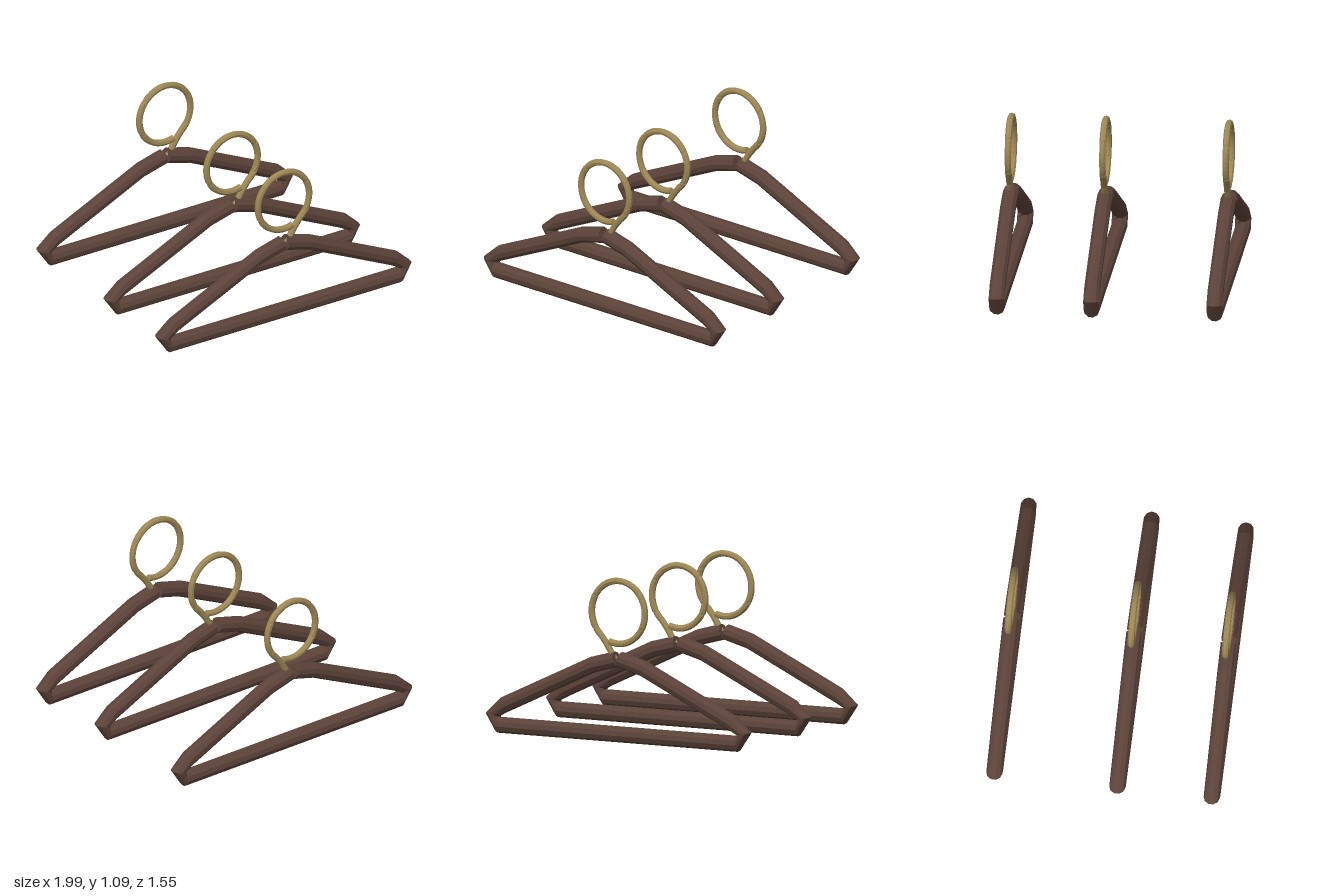
import * as THREE from 'three';

const wood = new THREE.MeshStandardMaterial({ color: 0x5c4239, flatShading: true });
wood.name = 'dark brown wood';
const brass = new THREE.MeshStandardMaterial({ color: 0x9e8755, flatShading: true });
brass.name = 'aged brass';

// Sweeps a polygon along stations [x, y, heading in degrees, twist in degrees] in the xy plane.
function sweep(stations, radius, sides) {
  const pos = [], index = [];
  const rad = THREE.MathUtils.degToRad;
  for (const [x, y, heading, twist] of stations) {
    const h = rad(heading);
    for (let j = 0; j < sides; j++) {
      const a = (j / sides) * Math.PI * 2 + rad(twist);
      const u = Math.cos(a) * radius;
      pos.push(x - Math.sin(h) * u, y + Math.cos(h) * u, Math.sin(a) * radius);
    }
  }
  const last = (stations.length - 1) * sides;
  for (let i = 0; i < last; i += sides) {
    for (let j = 0; j < sides; j++) {
      const k = (j + 1) % sides;
      index.push(i + j, i + k, i + sides + j, i + k, i + sides + k, i + sides + j);
    }
  }
  // end caps
  for (let j = 1; j < sides - 1; j++) {
    index.push(0, j + 1, j, last, last + j, last + j + 1);
  }
  const geometry = new THREE.BufferGeometry();
  geometry.setAttribute('position', new THREE.Float32BufferAttribute(pos, 3));
  geometry.setIndex(index);
  geometry.computeVertexNormals();
  return geometry;
}

// Wooden triangle: neck, left arm, pinched corner, bar, pinched corner, right arm, neck
function frameGeometry() {
  return sweep([
    [0.012, 0.553, -15, 0],
    [0.19, 0.505, -20, 0],
    [0.86, 0.19, -25, 0],
    [0.94, 0.125, -80, 30],
    [0.905, 0.055, -180, 60],
    [-0.905, 0.055, -180, 60],
    [-0.945, 0.125, -280, 90],
    [-0.86, 0.19, -335, 120],
    [-0.19, 0.505, -340, 120],
    [-0.012, 0.553, -345, 120],
  ], 0.053, 10);
}

// Wire hook: slanted stem running into a nearly full loop, with small twists in the wire
function hookGeometry() {
  const stations = [[0.025, 0.55, 58, 0], [0.085, 0.65, 55, 0]];
  const steps = 44, start = -50, end = 290;
  let twist = 0;
  for (let i = 0; i <= steps; i++) {
    const deg = start + ((end - start) * i) / steps;
    const a = THREE.MathUtils.degToRad(deg);
    if ([3, 11, 25, 34].includes(i)) twist += 70;
    stations.push([0.2 * Math.cos(a), 0.865 + 0.209 * Math.sin(a), deg + 90, twist]);
  }
  return sweep(stations, 0.022, 8);
}

export function createModel() {
  const model = new THREE.Group();
  model.name = 'coatHangers';
  const frame = frameGeometry(), hook = hookGeometry();

  // Three hangers in an unevenly spaced row
  [0.72, 0.095, -0.72].forEach((z, i) => {
    const hanger = new THREE.Group();
    hanger.name = `hanger${i + 1}`;
    const body = new THREE.Mesh(frame, wood);
    body.name = 'woodenFrame';
    const ring = new THREE.Mesh(hook, brass);
    ring.name = 'wireHook';
    hanger.add(body, ring);
    hanger.position.z = z;
    model.add(hanger);
  });
  return model;
}
